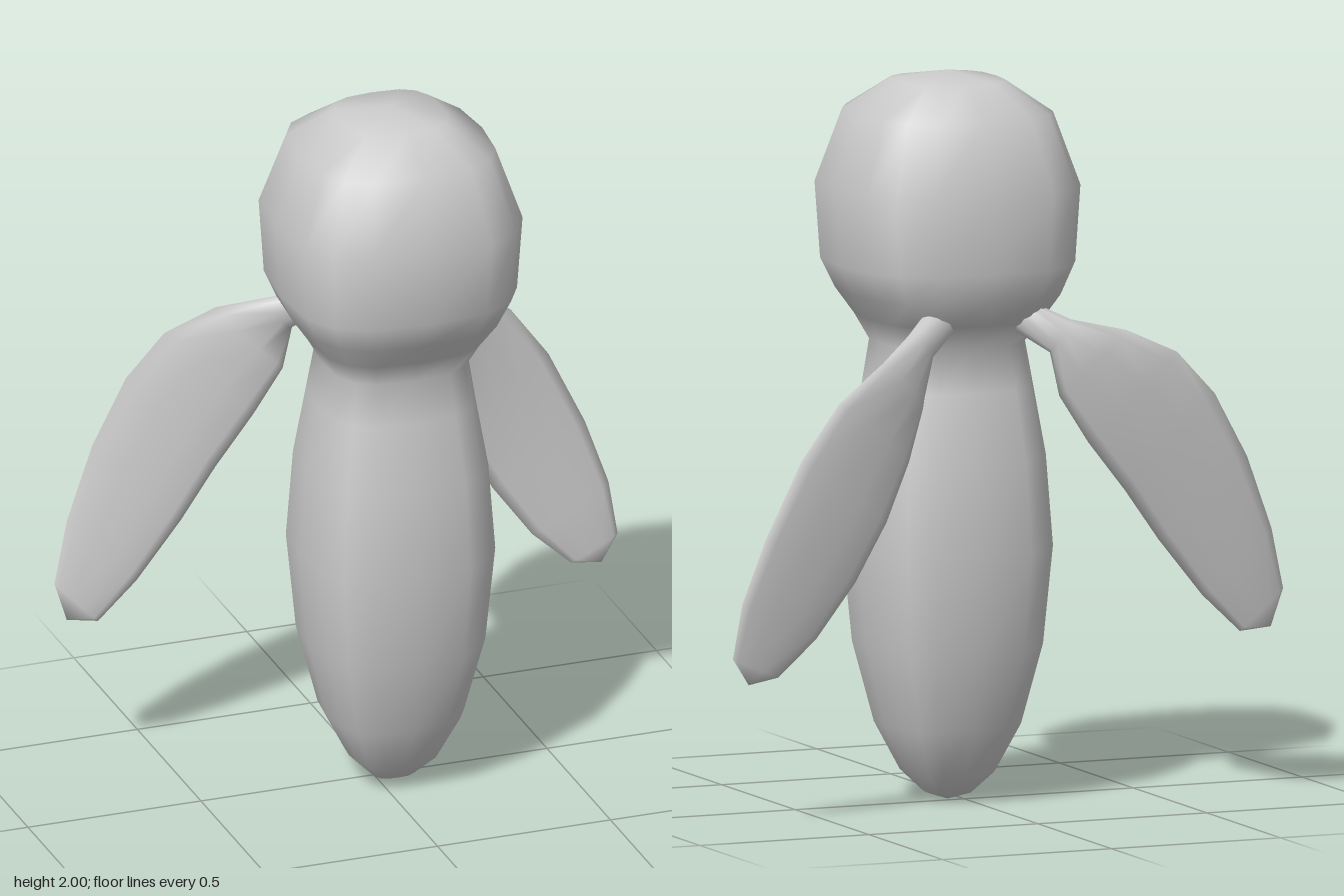
import * as THREE from 'three';

const V = (x, y, z) => new THREE.Vector3(x, y, z);
const material = new THREE.MeshStandardMaterial({ color: 0xcccccc, roughness: 0.8 });

// Smooth skin over equal rings of points, closed by a pole at each end
function loft(name, rings, startPole, endPole) {
  const n = rings[0].length, last = (rings.length - 1) * n, index = [];
  const points = [...rings.flat(), startPole, endPole];
  const s = points.length - 2, e = points.length - 1;
  for (let j = 0; j < n; j++) {
    const k = (j + 1) % n;
    for (let i = 0; i < rings.length - 1; i++) {
      const a = i * n + j, b = i * n + k;
      index.push(a, b, b + n, a, b + n, a + n);
    }
    index.push(s, k, j, last + j, last + k, e);
  }
  const geometry = new THREE.BufferGeometry().setFromPoints(points);
  geometry.setIndex(index);
  geometry.computeVertexNormals();
  const mesh = new THREE.Mesh(geometry, material);
  mesh.name = name;
  return mesh;
}

// Body and head: rounded-square rings [height, radius, radius towards the back]
function makeBody() {
  const cx = 0.04, cz = 0.022;
  const profile = [
    [0.02, 0.06], [0.08, 0.12], [0.21, 0.185], [0.43, 0.24], [0.7, 0.265], [0.95, 0.247],
    [1.14, 0.215], [1.26, 0.197, 0.185], [1.33, 0.235, 0.265], [1.4, 0.283, 0.31],
    [1.48, 0.32, 0.325], [1.69, 0.334], [1.89, 0.265], [1.975, 0.145],
  ];
  const round = (c) => Math.sign(c) * Math.abs(c) ** (2 / 3);
  const rings = profile.map(([y, r, back = r]) => Array.from({ length: 16 }, (_, j) => {
    const a = (j / 16) * Math.PI * 2, c = round(Math.cos(a)), s = round(Math.sin(a));
    return V(cx + r * s, y, cz + (c < 0 ? back : r) * c);
  }));
  return loft('bodyAndHead', rings, V(cx, 0, cz), V(cx, 2, cz));
}

// Wing: flat oval sections, each given by [outer edge xyz, inner edge xyz, half thickness]
function makeWing(name, rows, tip) {
  const sections = rows.map(([ox, oy, oz, ix, iy, iz, t]) => {
    const outer = V(ox, oy, oz), inner = V(ix, iy, iz);
    return { c: outer.clone().add(inner).multiplyScalar(0.5), w: outer.sub(inner).multiplyScalar(0.5), t };
  });
  const rings = sections.map(({ c, w, t }, i) => {
    const before = sections[Math.max(i - 1, 0)].c;
    const after = sections[i + 1] ? sections[i + 1].c : tip;
    const thick = after.clone().sub(before).cross(w).setLength(t);
    return Array.from({ length: 10 }, (_, j) => {
      const a = (j / 10) * Math.PI * 2;
      return c.clone().addScaledVector(w, Math.cos(a)).addScaledVector(thick, Math.sin(a));
    });
  });
  return loft(name, rings, sections[0].c, tip);
}

export function createModel() {
  const model = new THREE.Group();
  model.name = 'wingedFigure';
  model.add(makeBody());

  model.add(makeWing('leftWing', [
    [0.18, 1.39, -0.19, 0.1, 1.33, -0.19, 0.04],
    [0.27, 1.33, -0.26, 0.21, 1.25, -0.25, 0.032],
    [0.38, 1.26, -0.32, 0.24, 1.12, -0.27, 0.026],
    [0.52, 1.16, -0.342, 0.29, 0.98, -0.29, 0.022],
    [0.63, 1.01, -0.342, 0.36, 0.82, -0.298, 0.02],
    [0.73, 0.8, -0.328, 0.45, 0.66, -0.293, 0.018],
    [0.79, 0.62, -0.305, 0.56, 0.51, -0.28, 0.015],
    [0.81, 0.47, -0.288, 0.67, 0.41, -0.275, 0.01],
  ], V(0.76, 0.395, -0.28)));

  model.add(makeWing('rightWing', [
    [-0.1, 1.39, -0.19, -0.03, 1.33, -0.19, 0.04],
    [-0.2, 1.34, -0.27, -0.145, 1.25, -0.25, 0.032],
    [-0.34, 1.31, -0.32, -0.17, 1.13, -0.255, 0.026],
    [-0.48, 1.245, -0.343, -0.25, 1.0, -0.268, 0.022],
    [-0.59, 1.125, -0.347, -0.36, 0.86, -0.268, 0.02],
    [-0.69, 0.945, -0.338, -0.46, 0.72, -0.264, 0.018],
    [-0.77, 0.74, -0.32, -0.59, 0.56, -0.262, 0.015],
    [-0.815, 0.57, -0.295, -0.7, 0.455, -0.265, 0.01],
  ], V(-0.785, 0.465, -0.28)));

  return model;
}
